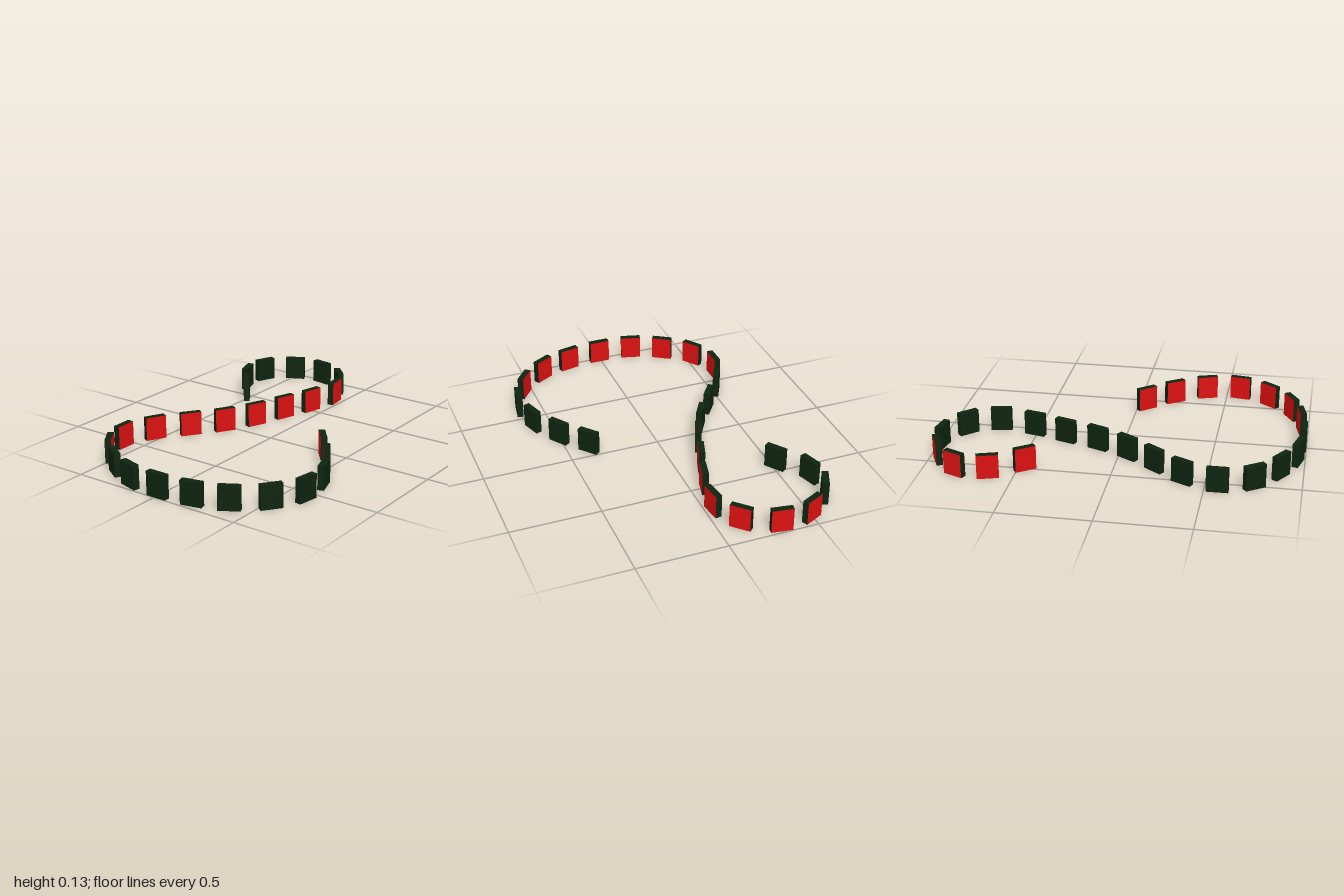
import * as THREE from 'three';

// Winding row of standing tiles: [x, z] centre of each tile along the path
const CENTRES = [
  [-0.055, 0.385], [-0.205, 0.51], [-0.385, 0.61], [-0.582, 0.635], [-0.76, 0.55],
  [-0.895, 0.396], [-0.96, 0.213], [-0.982, 0.01], [-0.963, -0.19], [-0.882, -0.368],
  [-0.755, -0.518], [-0.57, -0.582], [-0.38, -0.52], [-0.215, -0.4], [-0.053, -0.283],
  [0.125, -0.195], [0.317, -0.132], [0.505, -0.07], [0.708, -0.036], [0.88, -0.118],
  [0.972, -0.302], [0.944, -0.487], [0.81, -0.628], [0.63, -0.63], [0.46, -0.51],
];
const WIDTH = 0.117, HEIGHT = 0.133, DEPTH = 0.035;

export function createModel() {
  const model = new THREE.Group();
  model.name = 'tileRow';

  const green = new THREE.MeshStandardMaterial({ color: 0x0e2410 });
  const red = new THREE.MeshStandardMaterial({ color: 0xdd1111 });

  // Dark block with one red broad face (+z side)
  const geometry = new THREE.BoxGeometry(WIDTH, HEIGHT, DEPTH);
  const materials = [green, green, green, green, red, green];

  // Each tile's broad faces run along the path
  const path = new THREE.CatmullRomCurve3(CENTRES.map(([x, z]) => new THREE.Vector3(x, HEIGHT / 2, z)));
  CENTRES.forEach((_, i) => {
    const t = i / (CENTRES.length - 1);
    const tangent = path.getTangent(t);
    const tile = new THREE.Mesh(geometry, materials);
    tile.name = `tile${i + 1}`;
    tile.position.copy(path.getPoint(t));
    tile.rotation.y = Math.atan2(-tangent.z, tangent.x);
    model.add(tile);
  });
  return model;
}
